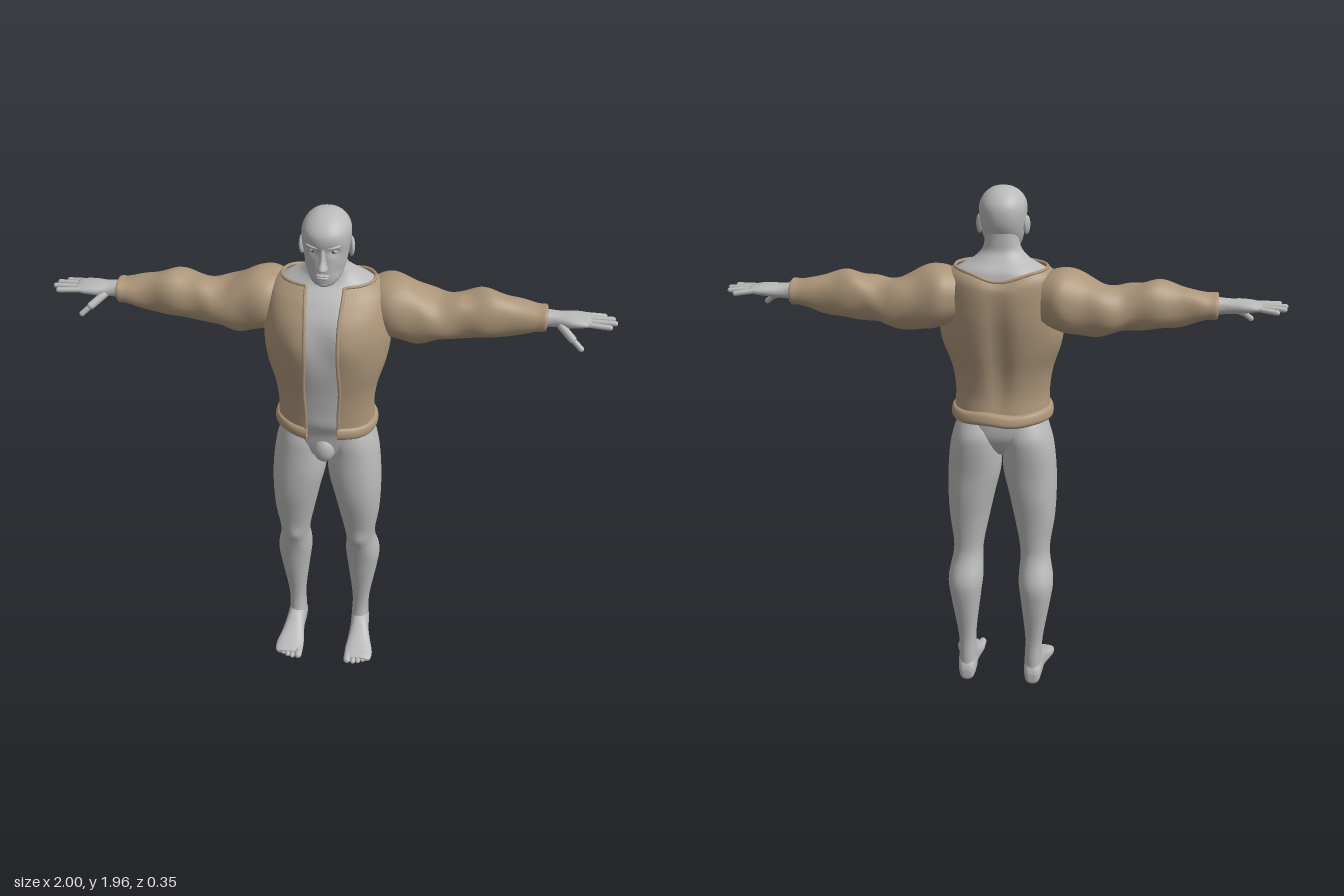
import * as THREE from 'three';

const mat = (name, color, side = THREE.FrontSide) => {
  const m = new THREE.MeshStandardMaterial({ color, side });
  m.name = name;
  return m;
};
const spow = (v, p) => Math.sign(v) * Math.pow(Math.abs(v), p);
const bump = (v, c, w) => Math.exp(-(((v - c) / w) ** 2));

// Smooth interpolation between section rows
function refine(rows, sub) {
  const out = [];
  for (let i = 0; i < rows.length - 1; i++) {
    const a = rows[Math.max(i - 1, 0)], b = rows[i], c = rows[i + 1], d = rows[Math.min(i + 2, rows.length - 1)];
    for (let k = 0; k < sub; k++) {
      const t = k / sub;
      out.push(b.map((p, j) => 0.5 * (2 * p + (c[j] - a[j]) * t + (2 * a[j] - 5 * p + 4 * c[j] - d[j]) * t * t
        + (3 * p - a[j] - 3 * c[j] + d[j]) * t ** 3)));
    }
  }
  out.push(rows[rows.length - 1]);
  return out;
}

// Skin rows [t, centreU, radiusU, minV, maxV] along an axis: y -> (x,z), x -> (y,z), z -> (x,y)
function loft(axis, rows, { n = 2.2, seg = 32, sub = 5, gap = null, cap = true, s = 1, warp = null } = {}) {
  const R = refine(rows, sub), pos = [], idx = [], cols = gap ? seg + 1 : seg;
  for (const [t, cu, ru, v0, v1] of R) {
    const g = gap ? Math.asin(Math.pow(gap(t) / ru, n / 2)) : 0;
    for (let j = 0; j < cols; j++) {
      const a = g + (j / seg) * (2 * Math.PI - 2 * g);
      const u = cu + ru * spow(Math.sin(a), 2 / n);
      const v = (v0 + v1) / 2 + ((v1 - v0) / 2) * spow(Math.cos(a), 2 / n);
      const p = axis === 'y' ? [u, t, v] : axis === 'x' ? [t, u, v] : [u, v, t];
      if (warp) warp(p, a);
      pos.push(p[0] * s, p[1], p[2]);
    }
  }
  for (let i = 0; i < R.length - 1; i++) for (let j = 0; j < seg; j++) {
    const k = (j + 1) % cols, a = i * cols + j, b = i * cols + k;
    idx.push([a, b, a + cols], [b, b + cols, a + cols]);
  }
  if (cap && !gap) for (const i of [0, R.length - 1]) {
    const c = [0, 0, 0], o = i * cols, id = pos.length / 3;
    for (let j = 0; j < cols; j++) for (let k = 0; k < 3; k++) c[k] += pos[(o + j) * 3 + k] / cols;
    pos.push(...c);
    for (let j = 0; j < cols; j++) {
      const a = o + j, b = o + (j + 1) % cols;
      idx.push(i ? [a, b, id] : [b, a, id]);
    }
  }
  // Turn every face outward using the signed volume
  const P = (i) => new THREE.Vector3(pos[3 * i], pos[3 * i + 1], pos[3 * i + 2]);
  const mid = P(0).add(P((R.length - 1) * cols + (seg >> 1))).multiplyScalar(0.5);
  let vol = 0;
  for (const [a, b, c] of idx) vol += P(a).sub(mid).dot(P(b).sub(mid).cross(P(c).sub(mid)));
  const geo = new THREE.BufferGeometry();
  geo.setAttribute('position', new THREE.Float32BufferAttribute(pos, 3));
  geo.setIndex(idx.flatMap(([a, b, c]) => (vol < 0 ? [a, c, b] : [a, b, c])));
  geo.computeVertexNormals();
  geo.userData = { cols, count: R.length };
  return geo;
}

export function createModel() {
  const root = new THREE.Group();
  root.name = 'figure';
  const skin = mat('skin grey', 0xb9b9b9);
  const cloth = mat('jacket tan', 0xad967a, THREE.DoubleSide);
  const iris = mat('eye brown', 0x7a5a3c);
  const add = (name, geo, m = skin) => {
    const mesh = new THREE.Mesh(geo, m);
    mesh.name = name;
    root.add(mesh);
    return mesh;
  };
  const ball = (name, p, r, m = skin) => {
    const mesh = add(name, new THREE.SphereGeometry(1, 20, 14), m);
    mesh.position.set(...p);
    mesh.scale.set(...r);
    return mesh;
  };
  const limb = (name, a, b, r) => {
    const A = new THREE.Vector3(...a), B = new THREE.Vector3(...b), d = B.clone().sub(A);
    const mesh = add(name, new THREE.CapsuleGeometry(r, d.length(), 6, 12));
    mesh.position.copy(A).add(B).multiplyScalar(0.5);
    mesh.quaternion.setFromUnitVectors(new THREE.Vector3(0, 1, 0), d.normalize());
  };

  // Chest sections shared by the body and the jacket
  const chest = [[1.16, 0, 0.176, -0.132, 0.14], [1.22, 0, 0.174, -0.124, 0.143], [1.3, 0, 0.185, -0.13, 0.15],
    [1.4, 0, 0.212, -0.15, 0.164], [1.5, 0, 0.222, -0.166, 0.168], [1.58, 0, 0.215, -0.17, 0.15],
    [1.64, 0, 0.205, -0.166, 0.11], [1.67, 0, 0.188, -0.158, 0.08]];
  const muscle = (p) => {
    const [x, y, z] = p;
    if (z < -0.05) p[2] += 0.022 * bump(x, 0, 0.035) * bump(y, 1.4, 0.22);
    if (z > 0.05) p[2] += 0.01 * (bump(Math.abs(x), 0.09, 0.05) - bump(x, 0, 0.04)) * bump(y, 1.5, 0.08);
    p[0] *= 1 + 0.07 * bump(z, -0.08, 0.06) * bump(y, 1.43, 0.08);
  };
  add('torso', loft('y', [[0.97, 0, 0.04, -0.06, 0.05], [1.0, 0, 0.11, -0.09, 0.085], [1.05, 0, 0.165, -0.115, 0.098],
    [1.11, 0, 0.168, -0.118, 0.108], ...chest.map((r) => [r[0], 0, r[2] - 0.015, r[3] + 0.016, r[4] - 0.013]),
    [1.69, 0, 0.145, -0.132, 0.045], [1.715, 0, 0.1, -0.108, 0.035], [1.745, 0, 0.07, -0.086, 0.036],
    [1.78, 0, 0.06, -0.082, 0.03], [1.82, 0, 0.055, -0.08, 0.02]], { warp: muscle, seg: 48 }));
  ball('groin', [0, 1.035, 0.082], [0.042, 0.055, 0.036]);

  // Head and face
  add('head', loft('y', [[1.713, 0, 0.026, 0.045, 0.09], [1.722, 0, 0.04, 0.02, 0.104], [1.745, 0, 0.058, -0.02, 0.108],
    [1.78, 0, 0.07, -0.06, 0.108], [1.82, 0, 0.077, -0.085, 0.108], [1.86, 0, 0.083, -0.094, 0.114],
    [1.9, 0, 0.082, -0.09, 0.112], [1.93, 0, 0.067, -0.07, 0.088], [1.95, 0, 0.043, -0.043, 0.056],
    [1.958, 0, 0.02, -0.015, 0.028], [1.96, 0, 0.003, 0, 0.01]], {
    warp: (p) => { // eye sockets and cheek hollows
      if (p[2] > 0.03) p[2] -= 0.012 * bump(Math.abs(p[0]), 0.034, 0.02) * bump(p[1], 1.845, 0.016)
        + 0.005 * bump(Math.abs(p[0]), 0.05, 0.015) * bump(p[1], 1.77, 0.02);
    }, seg: 48 }));
  add('nose', loft('y', [[1.782, 0, 0.008, 0.09, 0.118], [1.788, 0, 0.018, 0.09, 0.14], [1.797, 0, 0.017, 0.09, 0.146],
    [1.82, 0, 0.011, 0.09, 0.13], [1.85, 0, 0.009, 0.09, 0.117], [1.865, 0, 0.008, 0.09, 0.112]], { n: 2, seg: 16 }));
  ball('upperLip', [0, 1.761, 0.107], [0.024, 0.005, 0.01]);
  ball('lowerLip', [0, 1.751, 0.105], [0.021, 0.006, 0.01]);
  ball('chin', [0, 1.727, 0.092], [0.024, 0.014, 0.015]);

  for (const s of [1, -1]) {
    const side = s > 0 ? 'left' : 'right';
    ball(side + 'Eye', [s * 0.034, 1.845, 0.088], [0.014, 0.009, 0.01]);
    ball(side + 'Iris', [s * 0.034, 1.845, 0.096], [0.005, 0.005, 0.003], iris);
    ball(side + 'Brow', [s * 0.034, 1.863, 0.097], [0.027, 0.006, 0.012]).rotation.set(0, s * 0.35, s * 0.12);
    ball(side + 'Ear', [s * 0.084, 1.825, 0.002], [0.01, 0.035, 0.02]).rotation.set(-0.15, s * 0.35, 0);

    // Legs and feet
    add(side + 'Leg', loft('y', [[1.12, 0.09, 0.07, -0.1, 0.085], [1.06, 0.094, 0.087, -0.128, 0.1], [1.0, 0.099, 0.096, -0.13, 0.103],
      [0.9, 0.105, 0.1, -0.12, 0.106], [0.8, 0.117, 0.09, -0.115, 0.1], [0.7, 0.125, 0.077, -0.105, 0.08],
      [0.6, 0.128, 0.06, -0.1, 0.057], [0.54, 0.131, 0.057, -0.108, 0.042], [0.45, 0.137, 0.067, -0.144, 0.02],
      [0.36, 0.137, 0.057, -0.14, 0.004], [0.2, 0.133, 0.035, -0.115, -0.022], [0.11, 0.131, 0.034, -0.117, -0.018],
      [0.05, 0.131, 0.036, -0.12, 0]], { s,
      warp: (p) => { if (p[2] > 0) p[2] += 0.012 * bump(p[1], 0.58, 0.035) * bump(p[0], 0.125, 0.03); } }));
    add(side + 'Foot', loft('z', [[-0.128, 0.131, 0.015, 0.015, 0.05], [-0.115, 0.131, 0.03, 0.002, 0.08],
      [-0.07, 0.132, 0.037, 0, 0.12], [-0.01, 0.135, 0.038, 0, 0.108], [0.04, 0.139, 0.046, 0, 0.072],
      [0.09, 0.143, 0.056, 0, 0.046], [0.125, 0.144, 0.054, 0.002, 0.034], [0.138, 0.144, 0.045, 0.008, 0.026]], { s, n: 2.5 }));
    for (let i = 0; i < 5; i++) {
      const x = s * [0.102, 0.126, 0.146, 0.165, 0.183][i], r = i ? 0.0105 : 0.015;
      limb(side + 'Toe', [x, 0.02, 0.1], [x, r + 0.002, [0.145, 0.148, 0.142, 0.132, 0.118][i]], r);
    }

    // Hands
    add(side + 'Hand', loft('x', [[0.66, 1.567, 0.04, -0.1, 0], [0.76, 1.572, 0.03, -0.082, -0.018], [0.8, 1.572, 0.026, -0.084, -0.014],
      [0.84, 1.574, 0.023, -0.093, -0.002], [0.88, 1.575, 0.018, -0.097, 0], [0.91, 1.575, 0.011, -0.092, -0.005]], { s }));
    [[-0.084, 1.568, 0.958, -0.096], [-0.061, 1.572, 0.985, -0.07], [-0.037, 1.574, 0.991, -0.038], [-0.014, 1.574, 0.972, -0.006]]
      .forEach(([z, y, tip, tz]) => limb(side + 'Finger', [s * 0.89, 1.576, z], [s * tip, y, tz], 0.0095));
    limb(side + 'Thumb', [s * 0.81, 1.56, -0.018], [s * 0.85, 1.532, 0.018], 0.014);
    limb(side + 'Thumb', [s * 0.85, 1.532, 0.018], [s * 0.882, 1.505, 0.032], 0.01);

    // Sleeves with soft folds and a turned-in cuff
    add(side + 'Sleeve', loft('x', [[0.15, 1.58, 0.09, -0.155, 0.03], [0.2, 1.582, 0.107, -0.172, 0.05], [0.25, 1.573, 0.113, -0.172, 0.056],
      [0.32, 1.555, 0.104, -0.165, 0.048], [0.4, 1.547, 0.08, -0.152, 0.035], [0.47, 1.562, 0.082, -0.142, 0.026],
      [0.55, 1.571, 0.086, -0.13, 0.02], [0.64, 1.567, 0.07, -0.117, 0.008], [0.72, 1.57, 0.047, -0.106, 0.002],
      [0.755, 1.572, 0.045, -0.107, 0.006], [0.757, 1.572, 0.036, -0.094, -0.008], [0.73, 1.572, 0.034, -0.09, -0.01]], {
      s, cap: false, sub: 6,
      warp: (p, a) => { p[1] += 0.005 * Math.sin(p[0] * 42 + a * 2) * bump(p[0], 0.42, 0.2); p[2] += 0.004 * Math.sin(p[0] * 37 - a); } }), cloth);
  }

  // Open jacket body
  const gap = (y) => 0.058 + 0.008 * bump(y, 1.68, 0.06) + 0.006 * bump(y, 1.33, 0.08);
  const jacket = loft('y', [[1.13, 0, 0.178, -0.138, 0.14], ...chest, [1.69, 0, 0.163, -0.146, 0.058]], {
    gap, seg: 56,
    warp: (p) => { // back of the neckline dips
      muscle(p);
      if (p[2] < -0.04) p[1] -= 0.035 * bump(p[0], 0, 0.09) * THREE.MathUtils.smoothstep(p[1], 1.6, 1.69);
    } });
  add('jacketBody', jacket, cloth);

  // Rolled edge along the opening and neckline
  const { cols, count } = jacket.userData, at = (i, j) => new THREE.Vector3().fromBufferAttribute(jacket.attributes.position, i * cols + j);
  const edge = [];
  for (let i = 0; i < count; i += 2) edge.push(at(i, 0));
  for (let j = 1; j < cols - 1; j++) edge.push(at(count - 1, j));
  for (let i = count - 1; i >= 0; i -= 2) edge.push(at(i, cols - 1));
  add('jacketEdge', new THREE.TubeGeometry(new THREE.CatmullRomCurve3(edge), 200, 0.006, 8), cloth);

  // Padded hem band, lower at the back
  add('jacketHem', loft('y', [[1.12, 0, 0.165, -0.122, 0.118], [1.112, 0, 0.178, -0.142, 0.14], [1.122, 0, 0.188, -0.154, 0.15],
    [1.14, 0, 0.189, -0.152, 0.152], [1.155, 0, 0.184, -0.144, 0.147], [1.16, 0, 0.174, -0.13, 0.138]], {
    gap: () => 0.056, seg: 56, warp: (p) => { p[1] += 0.004 * Math.sin(p[0] * 30); } }), cloth);
  return root;
}
